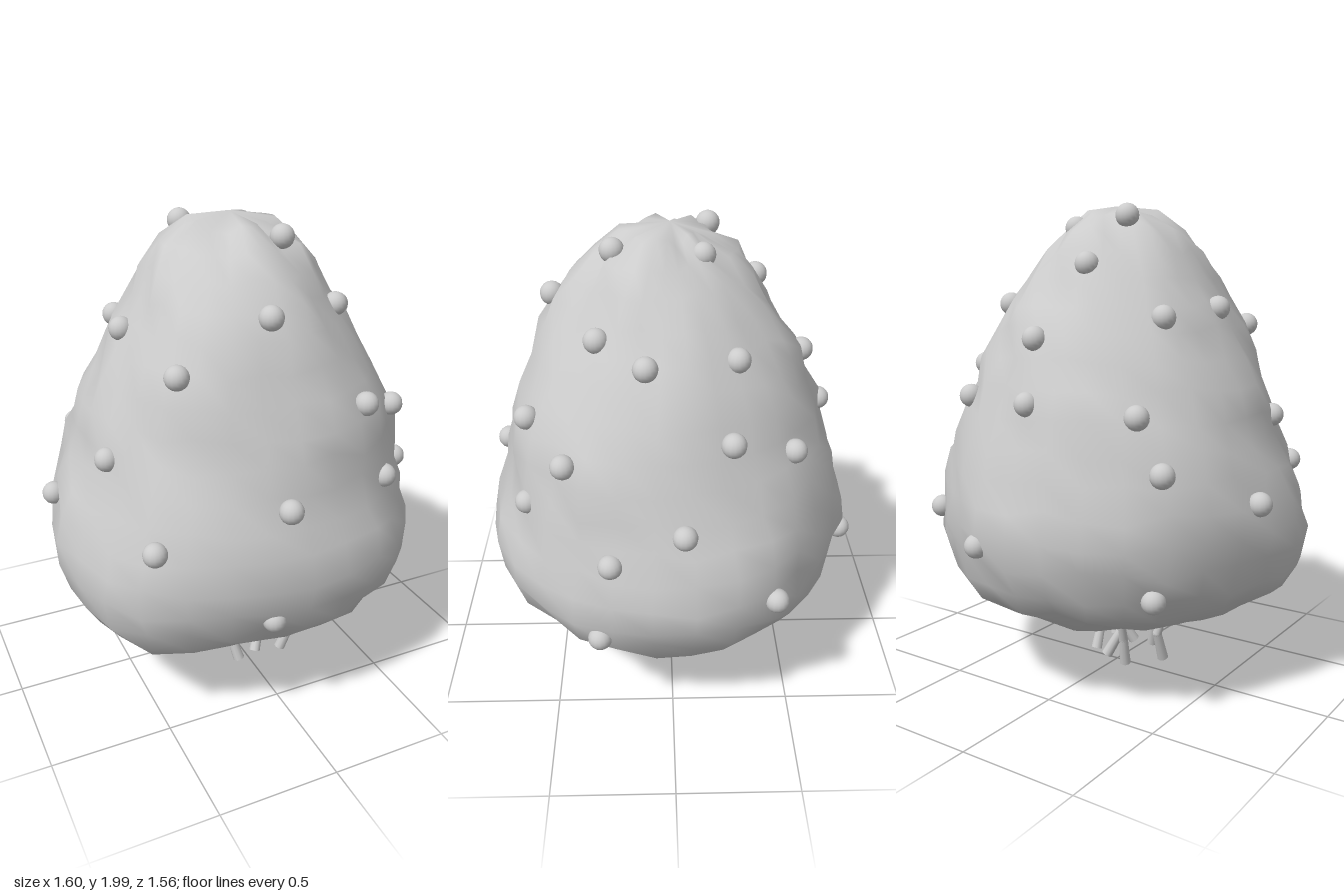
import * as THREE from 'three';
import { mergeVertices } from 'three/addons/utils/BufferGeometryUtils.js';

const material = new THREE.MeshStandardMaterial({ color: 0xcccccc });
const V = (p) => new THREE.Vector3(...p);

// Mean outline of the body (radius, height), from the underside to the crown
const OUTLINE = [
  [0, 0.25], [0.16, 0.26], [0.31, 0.285], [0.45, 0.315], [0.56, 0.36], [0.65, 0.42],
  [0.72, 0.51], [0.755, 0.62], [0.765, 0.73], [0.75, 0.84], [0.72, 0.95], [0.69, 1.06],
  [0.655, 1.17], [0.615, 1.28], [0.57, 1.39], [0.52, 1.5], [0.465, 1.6], [0.405, 1.7],
  [0.34, 1.8], [0.26, 1.88], [0.15, 1.955], [0, 1.985],
];

// Bead centres, all lying on the skin
const BEADS = [
  [0.16, 0.68, -0.73], [-0.01, 1.23, -0.62], [0.02, 1.47, -0.53], [-0.54, 1.0, -0.51],
  [-0.43, 1.2, -0.51], [-0.09, 1.75, -0.34], [-0.4, 1.55, -0.28], [0.41, 1.22, -0.47],
  [0.67, 0.7, -0.4], [0.38, 1.59, -0.24], [0.55, 1.33, -0.22], [-0.75, 0.85, -0.14],
  [-0.15, 1.94, -0.15], [0.12, 1.9, -0.12], [-0.47, 1.58, 0.02], [0.69, 1.02, -0.04],
  [0.45, 1.59, 0.1], [0.12, 1.92, 0.22], [0.33, 1.65, 0.28], [0.7, 0.9, 0.24],
  [-0.62, 1.14, 0.23], [-0.4, 1.5, 0.42], [-0.05, 1.69, 0.47], [0.54, 1.24, 0.41],
  [0.32, 1.33, 0.56], [0.42, 1.01, 0.57], [-0.56, 0.89, 0.57], [-0.07, 1.02, 0.7],
  [-0.13, 0.56, 0.7], [0.7, 0.55, 0.29], [-0.5, 0.52, -0.5],
];

// Bare lumps where the skin swells outward
const LUMPS = [
  [-0.79, 0.62, 0.17], [0.79, 0.73, -0.14], [0.15, 0.62, 0.75], [-0.31, 0.55, 0.71],
  [0.45, 0.65, 0.66], [-0.69, 0.48, 0.46], [-0.56, 0.72, -0.54], [-0.25, 0.7, -0.71],
  [0.45, 0.7, -0.58],
];

function seeded(seed) {
  return () => {
    seed = (seed * 16807) % 2147483647;
    return seed / 2147483647;
  };
}

// Outline radius of the outer wall at a height
function wallRadius(y) {
  const i = OUTLINE.findIndex((p) => p[1] >= y);
  const [r0, y0] = OUTLINE[i - 1], [r1, y1] = OUTLINE[i];
  return r0 + ((r1 - r0) * (y - y0)) / (y1 - y0);
}

// Lumpy, pear-like body: a turned outline pulled to pass through beads and lumps, then jittered
function makeBody() {
  let geo = new THREE.LatheGeometry(OUTLINE.map(([r, y]) => new THREE.Vector2(r, y)), 30);
  geo.deleteAttribute('uv');
  geo.deleteAttribute('normal');
  geo = mergeVertices(geo, 1e-4);
  const anchors = [...BEADS, ...LUMPS].map((p) => {
    const r = Math.hypot(p[0], p[2]), wall = wallRadius(p[1]);
    return { at: new THREE.Vector3((p[0] / r) * wall, p[1], (p[2] / r) * wall), pull: r - wall - 0.005 };
  });
  const rand = seeded(77);
  const pos = geo.attributes.position;
  const v = new THREE.Vector3();
  for (let i = 0; i < pos.count; i++) {
    v.fromBufferAttribute(pos, i);
    let sum = 0, weight = 0.15;
    for (const { at, pull } of anchors) {
      const w = Math.exp(-at.distanceToSquared(v) / 0.04);
      sum += w * pull;
      weight += w;
    }
    const r = Math.hypot(v.x, v.z);
    const offset = r > 0.05 ? sum / weight + (rand() - 0.5) * 0.04 : 0;
    const k = r > 0.05 ? (r + offset) / r : 1;
    const lift = (rand() - 0.5) * 0.04;
    pos.setXYZ(i, v.x * k, Math.min(2, v.y + lift), v.z * k);
  }
  geo.computeVertexNormals();
  const body = new THREE.Mesh(geo, material);
  body.name = 'body';
  return body;
}

// Small round beads scattered over the skin
function makeBeads() {
  const group = new THREE.Group();
  group.name = 'beads';
  const geo = new THREE.SphereGeometry(0.048, 16, 12);
  for (const p of BEADS) {
    const bead = new THREE.Mesh(geo, material);
    bead.name = 'bead';
    bead.position.set(...p);
    group.add(bead);
  }
  return group;
}

// One bent root: two straight tapered pieces with a rounded joint
function makeRoot(points) {
  const root = new THREE.Group();
  root.name = 'root';
  const up = new THREE.Vector3(0, 1, 0);
  const radii = [0.013, 0.02, 0.025];
  for (let i = 0; i < 2; i++) {
    const a = V(points[i]), b = V(points[i + 1]);
    const dir = a.clone().sub(b);
    const piece = new THREE.Mesh(
      new THREE.CylinderGeometry(radii[i], radii[i + 1], dir.length(), 10), material);
    piece.name = 'rootPiece';
    piece.position.copy(a).add(b).multiplyScalar(0.5);
    piece.quaternion.setFromUnitVectors(up, dir.normalize());
    root.add(piece);
  }
  const joint = new THREE.Mesh(new THREE.SphereGeometry(0.02, 10, 8), material);
  joint.name = 'rootJoint';
  joint.position.copy(V(points[1]));
  root.add(joint);
  return root;
}

function makeRoots() {
  // Top, bend and foot of each root
  const paths = [
    [[0.24, 0.31, 0.28], [0.21, 0.15, 0.24], [0.16, 0.01, 0.22]],
    [[0.19, 0.31, 0.07], [0.13, 0.12, 0.06], [0.13, 0.01, 0.02]],
    [[0.13, 0.31, 0.2], [0.09, 0.13, 0.15], [0.04, 0.01, 0.2]],
    [[-0.11, 0.31, 0.23], [-0.08, 0.13, 0.19], [-0.05, 0.01, 0.22]],
    [[0.03, 0.3, -0.04], [-0.01, 0.13, 0.02], [0.05, 0.01, -0.01]],
    [[-0.24, 0.33, 0.07], [-0.18, 0.14, 0.05], [-0.18, 0.01, 0.1]],
    [[-0.1, 0.3, -0.13], [-0.08, 0.13, -0.07], [-0.07, 0.01, -0.04]],
  ];
  const group = new THREE.Group();
  group.name = 'roots';
  paths.forEach((p) => group.add(makeRoot(p)));
  return group;
}

export function createModel() {
  const model = new THREE.Group();
  model.name = 'beadedPod';
  model.add(makeBody(), makeBeads(), makeRoots());
  return model;
}
